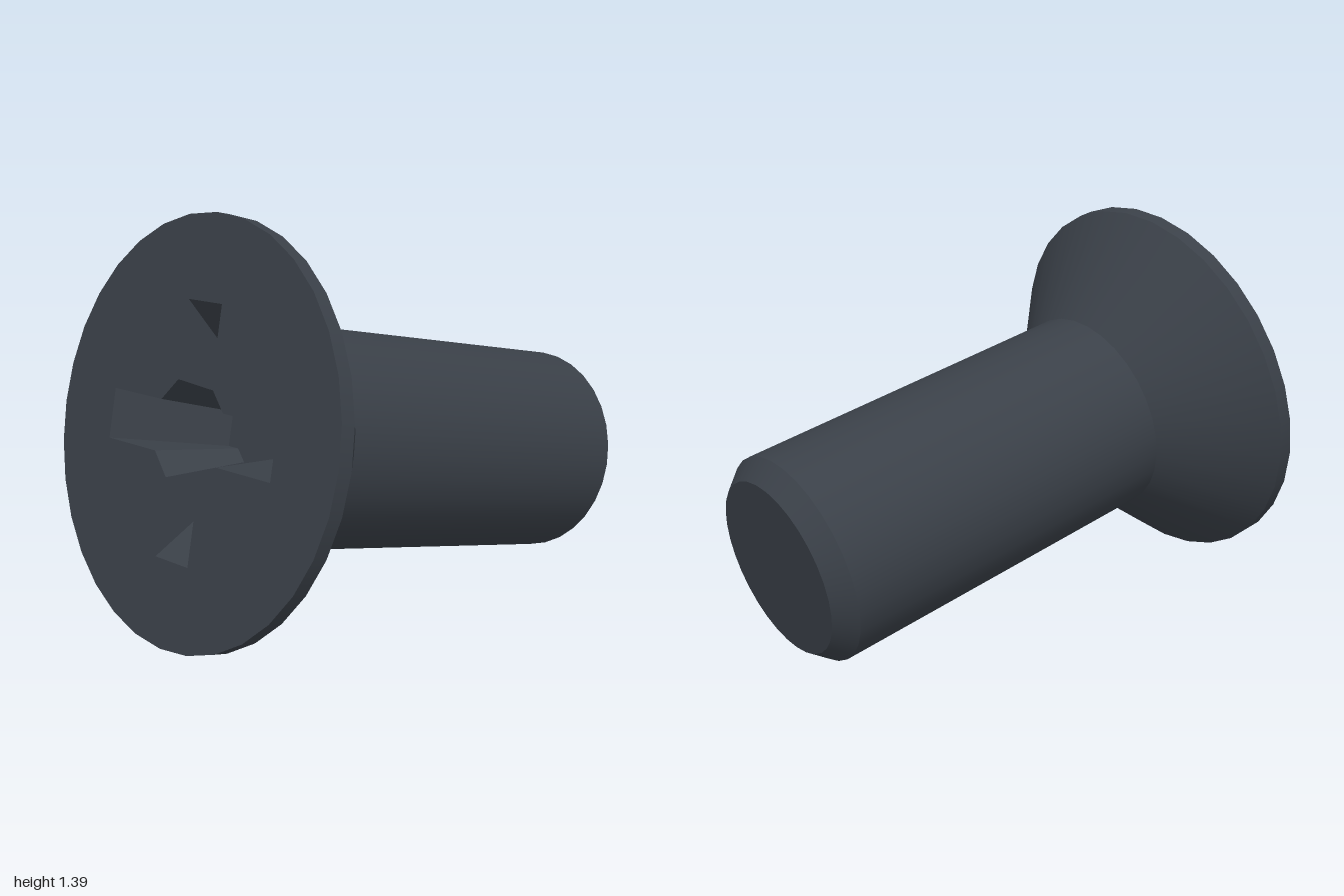
import * as THREE from 'three';

const SIDES = 32;
const HEAD_R = 0.704, SHAFT_R = 0.381, TIP_R = 0.32;
const LENGTH = 1.786;

// Cross-shaped outline with cut inner corners, counter-clockwise
function crossOutline(reach, halfWidth, core) {
  const pts = [];
  for (let i = 0; i < 4; i++) {
    const a = i * Math.PI / 2;
    const arm = [[core, -halfWidth], [reach, -halfWidth], [reach, halfWidth], [core, halfWidth]];
    for (const [x, y] of arm) {
      pts.push(new THREE.Vector2(x * Math.cos(a) - y * Math.sin(a), x * Math.sin(a) + y * Math.cos(a)));
    }
  }
  return pts;
}

// Sloping walls that join the recess mouth to its floor
function recessWalls(top, bottom, depth) {
  const pos = [];
  const put = (p, y) => pos.push(p.x, y, -p.y);
  top.forEach((a, i) => {
    const j = (i + 1) % top.length;
    const b = top[j], A = bottom[i], B = bottom[j];
    put(a, 0); put(b, 0); put(B, -depth);
    put(a, 0); put(B, -depth); put(A, -depth);
  });
  const g = new THREE.BufferGeometry();
  g.setAttribute('position', new THREE.Float32BufferAttribute(pos, 3));
  g.computeVertexNormals();
  return g;
}

export function createModel() {
  const steel = new THREE.MeshStandardMaterial({ color: 0x3a4048 });
  steel.name = 'dark steel';

  const screw = new THREE.Group();
  screw.name = 'screw';
  const add = (name, geometry) => {
    const mesh = new THREE.Mesh(geometry, steel);
    mesh.name = name;
    screw.add(mesh);
    return mesh;
  };

  // Turned bands from head to tip: name, start, end, start radius, end radius
  const bands = [
    ['headRim', 0, 0.052, HEAD_R, HEAD_R],
    ['headCone', 0.052, 0.372, HEAD_R, SHAFT_R],
    ['shaft', 0.372, LENGTH - 0.07, SHAFT_R, SHAFT_R],
    ['tipChamfer', LENGTH - 0.07, LENGTH, SHAFT_R, TIP_R],
  ];
  for (const [name, t0, t1, r0, r1] of bands) {
    add(name, new THREE.CylinderGeometry(r0, r1, t1 - t0, SIDES, 1, true)).position.y = -(t0 + t1) / 2;
  }
  add('tipFace', new THREE.CircleGeometry(TIP_R, SIDES).rotateX(Math.PI / 2)).position.y = -LENGTH;

  // Head face with the driver recess cut into it
  const depth = 0.3;
  const mouth = crossOutline(0.42, 0.085, 0.16);
  const floor = crossOutline(0.15, 0.06, 0.1);
  const disc = [];
  for (let i = 0; i < SIDES; i++) {
    const a = i / SIDES * Math.PI * 2;
    disc.push(new THREE.Vector2(HEAD_R * Math.cos(a), HEAD_R * Math.sin(a)));
  }
  const face = new THREE.Shape(disc);
  face.holes.push(new THREE.Path(mouth));
  add('headFace', new THREE.ShapeGeometry(face).rotateX(-Math.PI / 2));
  add('recessWalls', recessWalls(mouth, floor, depth));
  add('recessFloor', new THREE.ShapeGeometry(new THREE.Shape(floor)).rotateX(-Math.PI / 2)).position.y = -depth;

  // Lean the screw so it rests on the head rim and the tip
  const up = new THREE.Vector3(-1, 0.192, -0.215).normalize();
  const side = new THREE.Vector3(0, 1, 0).cross(up).normalize();
  const third = new THREE.Vector3().crossVectors(side, up);
  screw.quaternion.setFromRotationMatrix(new THREE.Matrix4().makeBasis(side, up, third));
  screw.position.set(-0.805, 0.7, -0.017);

  const model = new THREE.Group();
  model.name = 'countersunkScrew';
  model.add(screw);
  return model;
}
